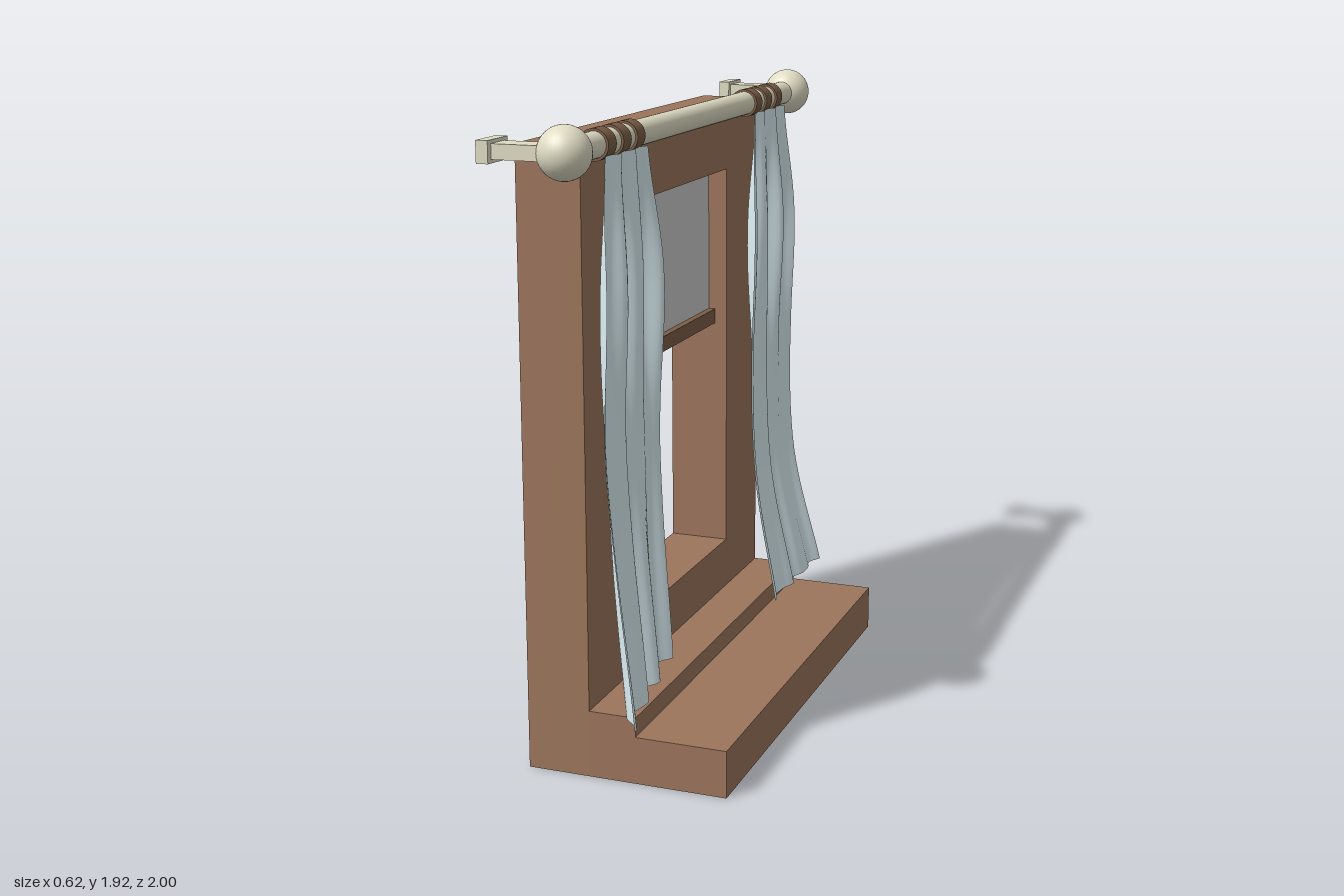
import * as THREE from 'three';

const material = (color, side = THREE.FrontSide) => new THREE.MeshStandardMaterial({ color, side });
const wood = material(0x9c755c);
const darkWood = material(0x7a5d46);
const cream = material(0xe0dcc4);
const grey = material(0xcccccc);
const cloth = material(0xddf0f5, THREE.DoubleSide);

function add(parent, name, geometry, mat, x = 0, y = 0, z = 0) {
  const mesh = new THREE.Mesh(geometry, mat);
  mesh.name = name;
  mesh.position.set(x, y, z);
  parent.add(mesh);
  return mesh;
}

// Closed outline from [a, b] pairs
const outline = (pts) => pts.map(([a, b]) => new THREE.Vector2(a, b));

// Hanging cloth: lofted between two edge curves, with folds pushed along x
function curtainGeometry(inner, outer, bottomFold, phase) {
  const curve = (pts) => new THREE.CatmullRomCurve3(pts.map((p) => new THREE.Vector3(...p)));
  const a = curve(inner), b = curve(outer);
  const cols = 48, rows = 40;
  const geometry = new THREE.PlaneGeometry(1, 1, cols, rows);
  const pos = geometry.attributes.position;
  const p = new THREE.Vector3();
  for (let j = 0; j <= rows; j++) {
    const t = j / rows;
    const pa = a.getPoint(t), pb = b.getPoint(t);
    const swell = 0.008 + 0.02 * Math.sin(Math.PI * Math.min(1, t * 1.6)) ** 2;
    const amp = swell + (bottomFold - 0.008) * THREE.MathUtils.smoothstep(t, 0.45, 1);
    for (let i = 0; i <= cols; i++) {
      const u = i / cols;
      const main = Math.cos(u * Math.PI * 6 + phase * t);
      const minor = Math.sin(u * Math.PI * 10 + 2 * t + phase);
      p.lerpVectors(pa, pb, u);
      p.x += amp * (0.8 * main + 0.25 * minor);
      pos.setXYZ(j * (cols + 1) + i, p.x, p.y, p.z);
    }
  }
  geometry.computeVertexNormals();
  return geometry;
}

export function createModel() {
  const model = new THREE.Group();
  model.name = 'curtainedWindow';

  // Wall with window opening
  const wallShape = new THREE.Shape(outline([[-0.735, 0], [0.735, 0], [0.735, 1.845], [-0.735, 1.845]]));
  wallShape.holes.push(new THREE.Path(outline([[-0.43, 0.37], [-0.43, 1.64], [0.43, 1.64], [0.43, 0.37]])));
  const wall = new THREE.ExtrudeGeometry(wallShape, { depth: 0.195, bevelEnabled: false });
  wall.rotateY(Math.PI / 2);
  add(model, 'windowFrame', wall, wood, -0.31);

  // Stepped sill
  const sillShape = new THREE.Shape(outline([
    [-0.115, 0], [0.31, 0], [0.31, 0.145], [0.03, 0.145], [0.03, 0.205], [-0.115, 0.205],
  ]));
  add(model, 'sill', new THREE.ExtrudeGeometry(sillShape, { depth: 1.47, bevelEnabled: false }), wood, 0, 0, -0.735);

  // Blind and its bottom bar
  add(model, 'blind', new THREE.BoxGeometry(0.095, 0.47, 0.86), grey, -0.225, 1.405);
  add(model, 'blindBar', new THREE.BoxGeometry(0.13, 0.048, 0.86), darkWood, -0.22, 1.148);

  // Curtain rod
  const rodX = -0.073, rodY = 1.85;
  const rod = new THREE.CylinderGeometry(0.038, 0.038, 1.8, 32).rotateX(Math.PI / 2);
  add(model, 'rod', rod, cream, rodX, rodY);

  // Finials, brackets and rings at both ends
  for (const s of [-1, 1]) {
    const end = new THREE.Group();
    end.name = s > 0 ? 'rightRodEnd' : 'leftRodEnd';
    model.add(end);
    add(end, 'finial', new THREE.SphereGeometry(0.075, 32, 20), cream, rodX, rodY, s * 0.925);
    add(end, 'bracketArm', new THREE.BoxGeometry(0.18, 0.042, 0.08), cream, -0.18, rodY, s * 0.925);
    add(end, 'bracketPlate', new THREE.BoxGeometry(0.035, 0.062, 0.12), cream, -0.283, rodY, s * 0.925);
    for (const z of [0.505, 0.605, 0.71]) {
      const ring = new THREE.CylinderGeometry(0.045, 0.045, 0.056, 32).rotateX(Math.PI / 2);
      add(end, 'curtainRing', ring, darkWood, rodX, rodY, s * z);
    }
  }

  // Curtain at +z: hem slants and is deeply folded
  add(model, 'nearCurtain', curtainGeometry(
    [[-0.035, 1.82, 0.46], [-0.03, 1.5, 0.41], [-0.03, 1.1, 0.41], [-0.025, 0.68, 0.41], [-0.015, 0.255, 0.38]],
    [[-0.035, 1.82, 0.765], [-0.03, 1.5, 0.82], [-0.03, 1.1, 0.825], [-0.005, 0.68, 0.825], [0.055, 0.22, 0.855]],
    0.026, 0.4), cloth);

  // Curtain at -z: hem sweeps forward and lies flatter
  add(model, 'farCurtain', curtainGeometry(
    [[-0.035, 1.82, -0.46], [-0.03, 1.5, -0.41], [-0.03, 1.1, -0.41], [-0.01, 0.6, -0.405], [0.07, 0.19, -0.38]],
    [[-0.035, 1.82, -0.765], [-0.03, 1.5, -0.82], [-0.03, 1.1, -0.825], [-0.01, 0.6, -0.825], [0.08, 0.19, -0.855]],
    0.012, -0.6), cloth);

  return model;
}
